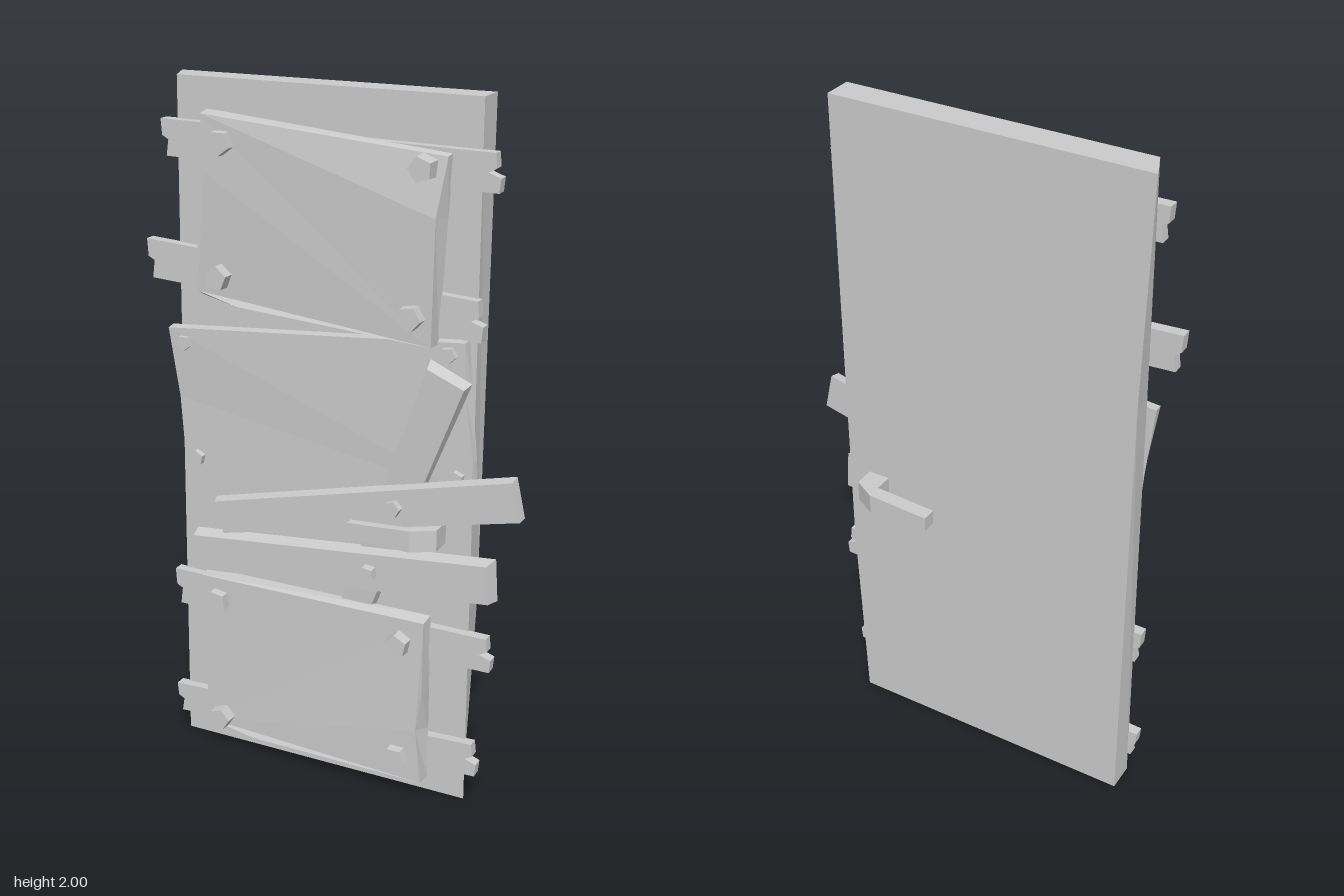
import * as THREE from 'three';

const mat = new THREE.MeshStandardMaterial({ color: 0xcccccc, flatShading: true });

// Slab between a back and a front outline (counter-clockwise [x, y, zOffset] points)
function slabGeometry(back, front, z0, z1) {
  const n = back.length, pos = [], idx = [];
  back.forEach(([x, y, d = 0]) => pos.push(x, y, z0 + d));
  front.forEach(([x, y, d = 0]) => pos.push(x, y, z1 + d));
  const tris = (pts) => THREE.ShapeUtils.triangulateShape(pts.map(([x, y]) => new THREE.Vector2(x, y)), []);
  tris(back).forEach(([a, b, c]) => idx.push(a, c, b));
  tris(front).forEach(([a, b, c]) => idx.push(a + n, b + n, c + n));
  for (let i = 0; i < n; i++) {
    const j = (i + 1) % n;
    idx.push(i, j, j + n, i, j + n, i + n);
  }
  const g = new THREE.BufferGeometry();
  g.setAttribute('position', new THREE.Float32BufferAttribute(pos, 3));
  g.setIndex(idx);
  const flat = g.toNonIndexed();
  flat.computeVertexNormals();
  return flat;
}

export function createModel() {
  const group = new THREE.Group();
  const add = (name, geo) => {
    const m = new THREE.Mesh(geo, mat);
    m.name = name;
    group.add(m);
    return m;
  };
  const slab = (name, z0, z1, back, front = back) => add(name, slabGeometry(back, front, z0, z1));

  // Five-sided bolt head
  const bolt = (x, y, r, z0, z1, turn) => {
    const g = new THREE.CylinderGeometry(r * 0.92, r, z1 - z0, 5);
    g.rotateX(Math.PI / 2).rotateZ(turn).translate(x, y, (z0 + z1) / 2);
    add('bolt', g);
  };

  // Door leaf with slightly worn edges
  slab('doorPanel', -0.045, 0.04,
    [[-0.51, 0], [0.37, 0], [0.395, 0.6], [0.405, 2], [-0.51, 2], [-0.5, 1.35]],
    [[-0.51, 0], [0.405, 0], [0.405, 0.6], [0.405, 2], [-0.475, 2], [-0.487, 1.35]]);

  // Horizontal boards with splintered ends: left x, y low, y high, right x, y low, y high
  const boards = [
    [-0.515, 1.785, 1.885, 0.46, 1.77, 1.87],
    [-0.575, 1.44, 1.55, 0.425, 1.38, 1.49],
    [-0.525, 0.44, 0.55, 0.478, 0.44, 0.54],
    [-0.535, 0.07, 0.16, 0.445, 0.1, 0.2],
  ];
  for (const [xl, l0, l1, xr, r0, r1] of boards) {
    const lm = (l0 + l1) / 2, rm = (r0 + r1) / 2;
    slab('crossBoard', 0.035, 0.066, [
      [xl + 0.015, l0], [xr, r0], [xr + 0.004, rm - 0.012], [xr - 0.03, rm],
      [xr - 0.008, rm + 0.012], [xr - 0.012, r1], [xl, l1], [xl + 0.003, lm + 0.005], [xl + 0.022, lm - 0.005],
    ]);
  }

  // Upper metal plate with chipped edges
  slab('upperPlate', 0.062, 0.11,
    [[-0.4, 1.41], [-0.3, 1.403], [0.305, 1.36], [0.325, 1.7], [0.335, 1.86], [-0.37, 1.92], [-0.378, 1.76], [-0.385, 1.66]],
    [[-0.395, 1.43, -0.01], [-0.27, 1.402], [0.302, 1.362, -0.005], [0.31, 1.7], [0.332, 1.855, -0.022],
      [-0.365, 1.915], [-0.358, 1.76], [-0.382, 1.66]]);

  // Middle sheet, wider than the door
  slab('middlePlate', 0.042, 0.066,
    [[-0.475, 0.875], [0.42, 0.95], [0.415, 1.05], [0.395, 1.25], [0.385, 1.378], [-0.515, 1.305], [-0.495, 1.1]],
    [[-0.472, 0.878], [0.41, 0.952], [0.412, 1.05], [0.385, 1.25], [0.382, 1.375], [-0.512, 1.302, 0.006], [-0.485, 1.1]]);

  // Lower metal plate
  slab('lowerPlate', 0.062, 0.11,
    [[-0.41, 0.065], [-0.28, 0.063], [0.3, 0.06], [0.3, 0.22], [0.3, 0.35], [0.3, 0.575], [-0.41, 0.575]],
    [[-0.405, 0.085, -0.01], [-0.25, 0.065], [0.298, 0.062], [0.28, 0.23], [0.298, 0.35], [0.295, 0.565, -0.01], [-0.405, 0.572]]);

  // Leaning plank, tilted towards the door at its foot
  slab('leaningPlank', 0.068, 0.1,
    [[-0.035, 0.41, -0.025], [0.06, 0.4, -0.025], [0.405, 1.268], [0.288, 1.32]],
    [[-0.03, 0.412, -0.035], [0.055, 0.402, -0.035], [0.395, 1.258], [0.29, 1.302]]);

  // Two crossing planks over the front
  slab('upperPlank', 0.085, 0.118,
    [[-0.332, 0.715], [0.57, 0.93], [0.545, 1.042], [-0.362, 0.822]],
    [[-0.325, 0.725], [0.568, 0.928], [0.543, 1.035], [-0.352, 0.818]]);
  slab('lowerPlank', 0.072, 0.112,
    [[-0.432, 0.588], [0.498, 0.668], [0.49, 0.79], [-0.438, 0.705]],
    [[-0.425, 0.59], [0.485, 0.67], [0.477, 0.78], [-0.43, 0.695]]);

  // Bolts: x, y
  const plateBolts = [[-0.3, 1.845], [0.275, 1.825], [-0.32, 1.48], [0.25, 1.44],
    [-0.35, 0.505], [0.225, 0.495], [-0.35, 0.115], [0.225, 0.135]];
  plateBolts.forEach(([x, y], i) => bolt(x, y, 0.037, 0.085, 0.135, i * 0.9));
  const sheetBolts = [[-0.46, 1.265], [-0.43, 0.925], [0.34, 1.34], [0.37, 1.0]];
  sheetBolts.forEach(([x, y], i) => bolt(x, y, 0.024, 0.05, 0.083, i * 0.7));
  bolt(0.21, 0.905, 0.026, 0.1, 0.137, 0.4);
  bolt(0.135, 0.695, 0.026, 0.095, 0.137, 1.1);

  // Lever handle on both faces: arm profile seen from above, narrowing to its tip
  const lever = (inset) => [[0.08, 0.1, inset], [0.265, 0.1], [0.265, 0.03], [0.33, 0.03],
    [0.33, 0.105], [0.265, 0.143], [0.08, 0.143, inset]];
  const back = slabGeometry(lever(0.007), lever(-0.01), 0.793, 0.855).rotateX(-Math.PI / 2);
  add('backHandle', back);
  const front = slabGeometry(lever(0.01), lever(-0.007), -0.855, -0.793).rotateX(Math.PI / 2);
  add('frontHandle', front);

  return group;
}
